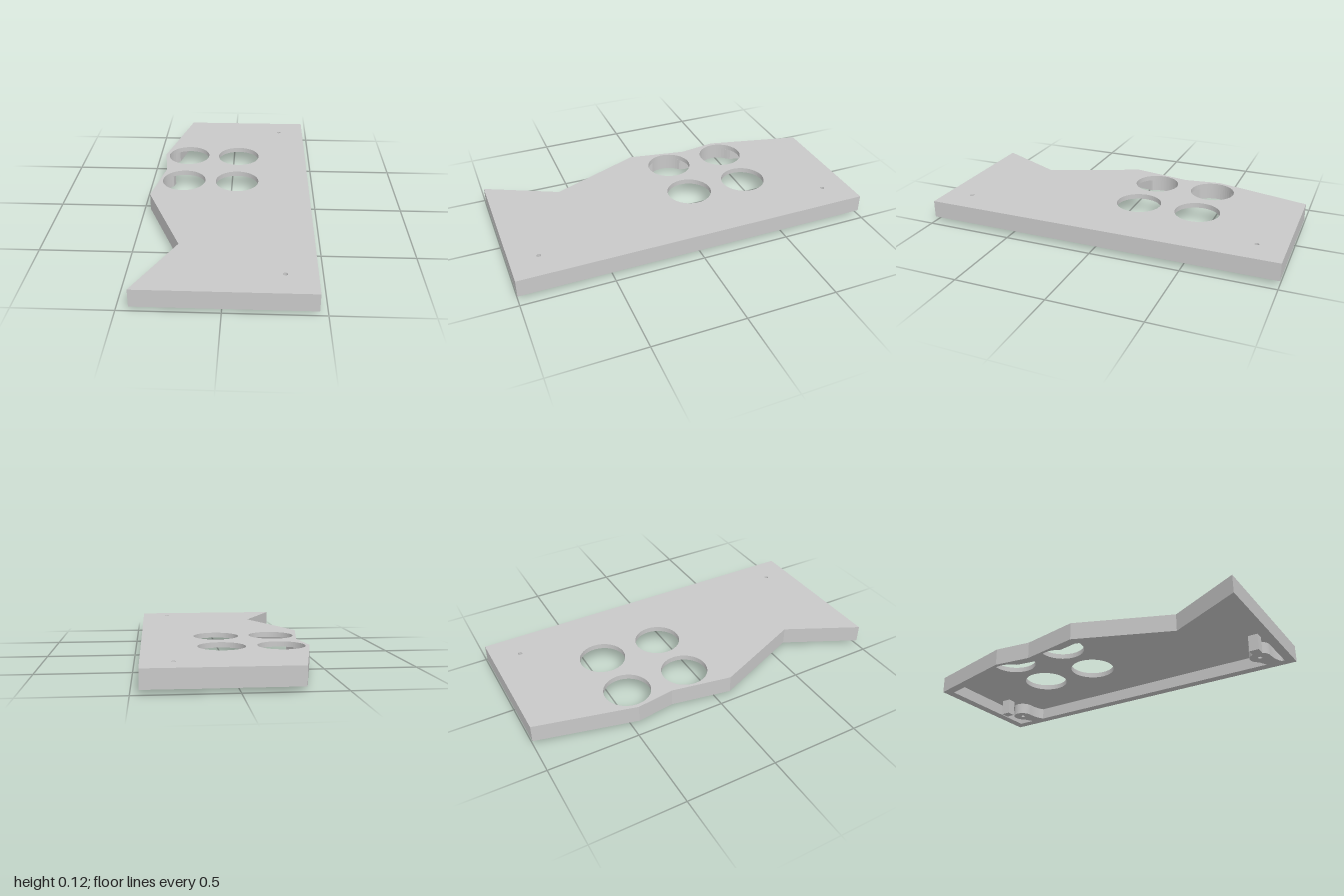
import * as THREE from 'three';

const BASE = 0.025, ROOF = 0.093, TOP = 0.122, WALL = 0.052, HOLE_R = 0.127;

// Plan outline as [x, z], starting with the straight long side
const outline = [[0.458, -1], [0.458, 1], [-0.436, 1], [-0.239, 0.6], [-0.458, 0.08],
  [-0.399, -0.25], [-0.429, -0.46], [-0.3, -1]];
const bigHoles = [[-0.279, -0.454], [0.037, -0.454], [-0.279, -0.107], [0.037, -0.107]];
const screws = [[0.299, -0.845], [0.299, 0.845]];

// Moves every edge inward by t and intersects neighbouring edges
function inset(points, t) {
  const n = points.length;
  const normal = (a, b) => {
    const dx = b[0] - a[0], dz = b[1] - a[1], l = Math.hypot(dx, dz);
    return [-dz / l, dx / l];
  };
  return points.map((p, i) => {
    const a = normal(points[(i + n - 1) % n], p), b = normal(p, points[(i + 1) % n]);
    const k = t / (1 + a[0] * b[0] + a[1] * b[1]);
    return [p[0] + (a[0] + b[0]) * k, p[1] + (a[1] + b[1]) * k];
  });
}

// Inner wall line: the inset outline, cut back where the round holes reach into the wall
function innerOutline() {
  const pts = inset(outline, WALL), result = pts.slice(0, 2);
  for (let i = 2; i < pts.length - 1; i++) {
    const [a, b] = [pts[i], pts[i + 1]];
    const steps = i >= 4 ? 32 : 1;
    for (let s = 0; s < steps; s++) {
      const f = s / steps;
      let x = a[0] + (b[0] - a[0]) * f;
      const z = a[1] + (b[1] - a[1]) * f;
      for (const [cx, cz] of bigHoles) {
        const d = HOLE_R ** 2 - (z - cz) ** 2;
        if (d > 0) x = Math.min(x, cx - Math.sqrt(d));
      }
      result.push([x, z]);
    }
  }
  result.push(pts[pts.length - 1]);
  return result;
}

// Plan points to a counter-clockwise shape contour
const toVectors = (pts) => pts.map(([x, z]) => new THREE.Vector2(x, -z)).reverse();

function circle([x, z], r) {
  return new THREE.Path().absarc(x, -z, r, 0, Math.PI * 2, true);
}

// Extrudes a plan shape upward from y0 to y1
function slab(shape, y0, y1) {
  const geo = new THREE.ExtrudeGeometry(shape, { depth: y1 - y0, bevelEnabled: false, curveSegments: 32 });
  return geo.rotateX(-Math.PI / 2).translate(0, y0, 0);
}

export function createModel() {
  const group = new THREE.Group();
  const grey = new THREE.MeshStandardMaterial({ color: 0xc8c8c8 });
  grey.name = 'grey plastic';
  const add = (name, geo) => {
    const mesh = new THREE.Mesh(geo, grey);
    mesh.name = name;
    group.add(mesh);
    return mesh;
  };

  // Top plate with four round openings and two screw holes
  const plate = new THREE.Shape(toVectors(outline));
  bigHoles.forEach((c) => plate.holes.push(circle(c, HOLE_R)));
  screws.forEach((c) => plate.holes.push(circle(c, 0.012)));
  add('topPlate', slab(plate, ROOF, TOP));

  // Rim wall, open underneath
  const rim = new THREE.Shape(toVectors(outline));
  rim.holes.push(new THREE.Path(toVectors(innerOutline())));
  add('rimWall', slab(rim, BASE, ROOF));

  // Screw bosses flared into the long wall, and the square feet beside them
  screws.forEach(([x, z], i) => {
    const end = i ? 'Front' : 'Back';
    const boss = new THREE.Shape().absarc(x, -z, 0.06, Math.PI / 6, Math.PI * 1.5, false);
    boss.quadraticCurveTo(x + 0.07, -z - 0.06, 0.41, -z - 0.09);
    boss.lineTo(0.41, -z);
    boss.closePath();
    boss.holes.push(circle([x, z], 0.012));
    add('screwBoss' + end, slab(boss, BASE, ROOF));
    const foot = add('foot' + end, new THREE.BoxGeometry(0.053, ROOF, 0.055));
    foot.position.set(0.169, ROOF / 2, Math.sign(z) * 0.868);
  });
  return group;
}
